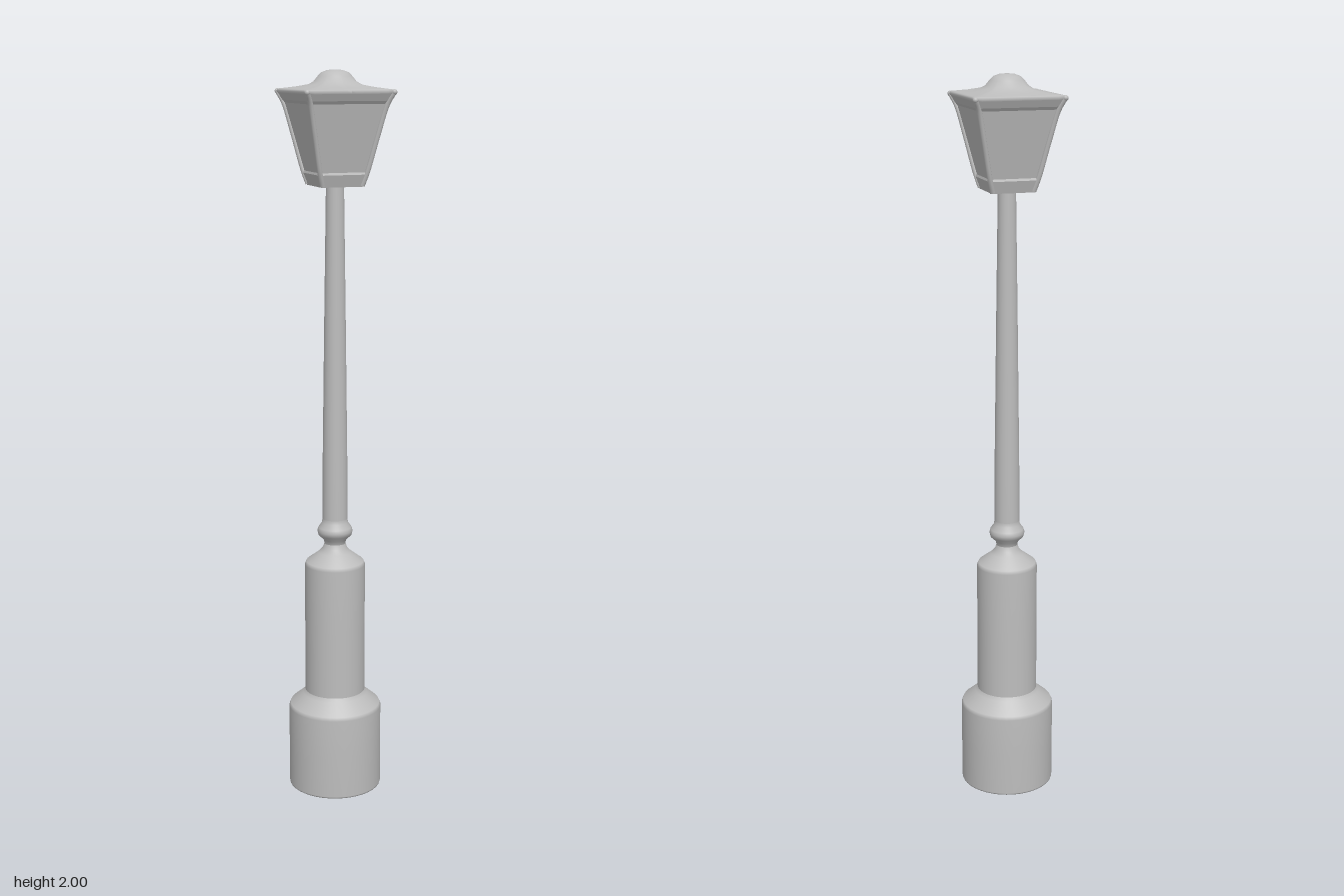
import * as THREE from 'three';

const castMetal = new THREE.MeshStandardMaterial({ color: 0xbdbdbd });
castMetal.name = 'cast metal grey';

const toPoints = (list) => list.map(([r, y]) => new THREE.Vector2(r, y));

function part(name, geometry, parent) {
  const mesh = new THREE.Mesh(geometry, castMetal);
  mesh.name = name;
  parent.add(mesh);
  return mesh;
}

// Round turned part; profile is [radius, height] from bottom to top
const turned = (profile) => new THREE.LatheGeometry(toPoints(profile), 40);

// Four-sided flat-faced part; profile is [half width, height]
function squareTower(profile) {
  const points = toPoints(profile.map(([h, y]) => [h * Math.SQRT2, y]));
  const geometry = new THREE.LatheGeometry(points, 4, Math.PI / 4).toNonIndexed();
  geometry.computeVertexNormals();
  return geometry;
}

// Roof whose cross-section blends from square at the eaves to round at the dome
function blendedRoof(rows) {
  const geometry = new THREE.LatheGeometry(toPoints(rows), 64);
  const position = geometry.attributes.position;
  for (let i = 0; i < position.count; i++) {
    const squareness = rows[i % rows.length][2];
    const x = position.getX(i), z = position.getZ(i);
    const reach = Math.max(Math.abs(x), Math.abs(z));
    if (reach < 1e-6) continue;
    const scale = 1 + squareness * (Math.hypot(x, z) / reach - 1);
    position.setX(i, x * scale);
    position.setZ(i, z * scale);
  }
  geometry.computeVertexNormals();
  return geometry;
}

export function createModel() {
  const lamp = new THREE.Group();
  lamp.name = 'streetLamp';

  // Pedestal and post
  part('base', turned([
    [0, 0], [0.129, 0], [0.13, 0.004], [0.13, 0.12], [0.13, 0.232], [0.126, 0.242],
    [0.09, 0.272], [0.084, 0.282],
  ]), lamp);
  part('pedestal', turned([
    [0.084, 0.275], [0.084, 0.45], [0.084, 0.652], [0.08, 0.662], [0.045, 0.688],
    [0.034, 0.7], [0.029, 0.715],
  ]), lamp);
  part('collar', turned([
    [0.029, 0.71], [0.031, 0.724], [0.046, 0.738], [0.049, 0.75], [0.046, 0.76],
    [0.036, 0.774], [0.035, 0.785],
  ]), lamp);
  part('post', turned([[0.035, 0.77], [0.034, 0.95], [0.029, 1.35], [0.024, 1.71]]), lamp);

  // Lantern
  const lantern = new THREE.Group();
  lantern.name = 'lantern';
  lamp.add(lantern);
  part('lanternFoot', squareTower([[0, 1.7], [0.058, 1.7], [0.068, 1.732], [0.066, 1.738]]), lantern);
  part('lanternPanels', squareTower([[0.064, 1.735], [0.106, 1.918]]), lantern);
  part('lanternRim', squareTower([[0.105, 1.914], [0.111, 1.922], [0.122, 1.944]]), lantern);

  // Corner bars, curving outward at the top
  const barPath = [[0.056, 1.703], [0.066, 1.738], [0.086, 1.83], [0.106, 1.915], [0.119, 1.944]];
  for (const sx of [-1, 1]) {
    for (const sz of [-1, 1]) {
      const path = new THREE.CatmullRomCurve3(
        barPath.map(([h, y]) => new THREE.Vector3(sx * h, y, sz * h)));
      part('cornerBar', new THREE.TubeGeometry(path, 20, 0.007, 8), lantern);
      const cap = part('cornerCap', new THREE.SphereGeometry(0.0075, 10, 8), lantern);
      cap.position.set(sx * 0.119, 1.944, sz * 0.119);
    }
  }

  // Roof rows: [half width, height, squareness]
  part('roof', blendedRoof([
    [0.121, 1.94, 1], [0.123, 1.945, 1], [0.121, 1.95, 1], [0.114, 1.951, 1],
    [0.088, 1.956, 0.75], [0.068, 1.962, 0.35], [0.056, 1.97, 0.1], [0.046, 1.983, 0],
    [0.036, 1.993, 0], [0.02, 1.999, 0], [0, 2, 0],
  ]), lantern);

  return lamp;
}
